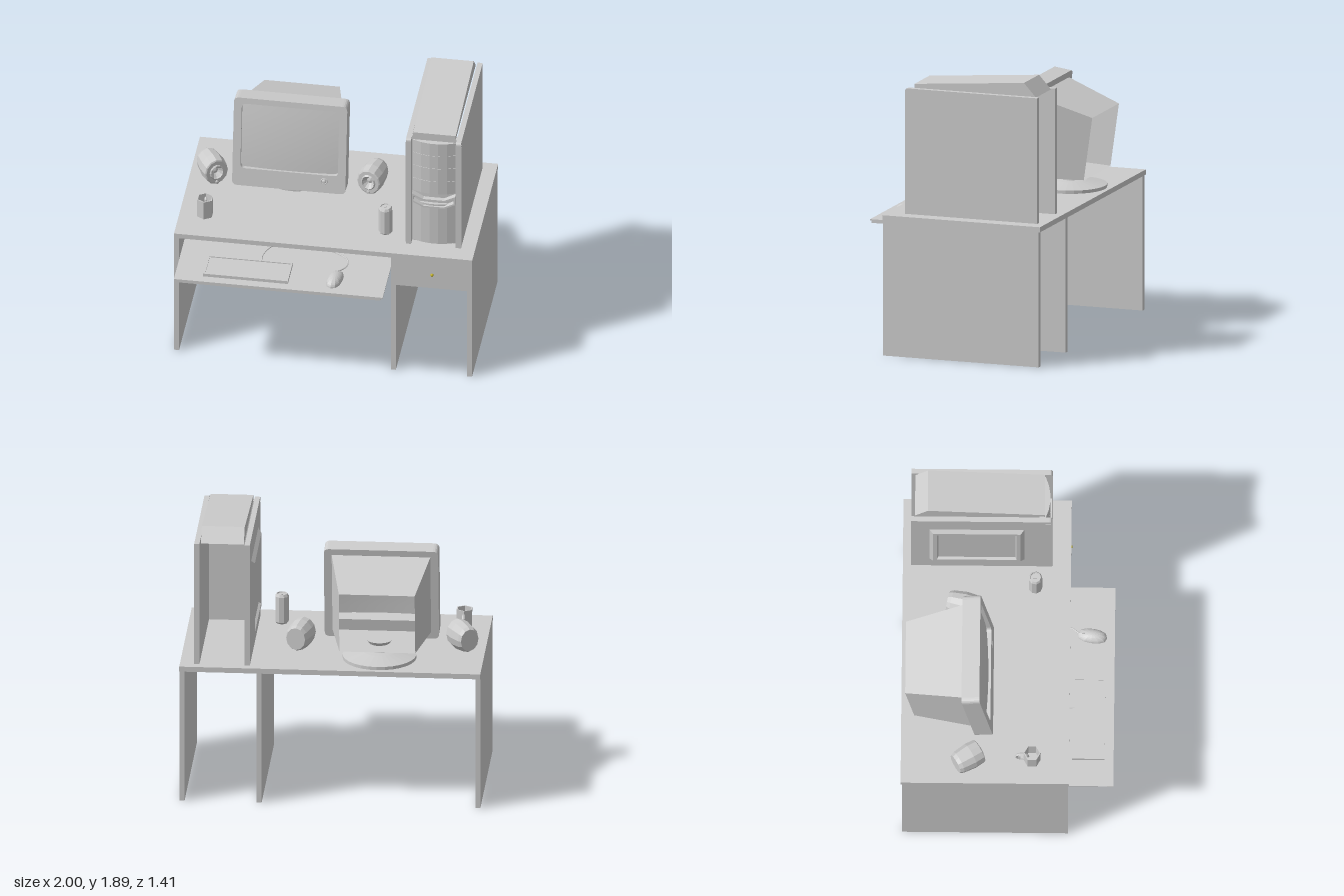
import * as THREE from 'three';

const grey = new THREE.MeshStandardMaterial({ color: 0xcccccc, side: THREE.DoubleSide });
const flat = new THREE.MeshStandardMaterial({ color: 0xcccccc, side: THREE.DoubleSide, flatShading: true });
const brass = new THREE.MeshStandardMaterial({ color: 0xc0b020 });

function add(parent, name, geometry, x = 0, y = 0, z = 0, material = flat) {
  const m = new THREE.Mesh(geometry, material);
  m.name = name;
  m.position.set(x, y, z);
  parent.add(m);
  return m;
}
function group(parent, name, x = 0, y = 0, z = 0) {
  const g = new THREE.Group();
  g.name = name;
  g.position.set(x, y, z);
  parent.add(g);
  return g;
}
// box given by its limits
function box(parent, name, x0, x1, y0, y1, z0, z1) {
  return add(parent, name, new THREE.BoxGeometry(x1 - x0, y1 - y0, z1 - z0), (x0 + x1) / 2, (y0 + y1) / 2, (z0 + z1) / 2);
}
function roundRect(x0, x1, y0, y1, r, C = THREE.Shape) {
  const s = new C();
  s.moveTo(x0 + r, y0);
  s.lineTo(x1 - r, y0); s.quadraticCurveTo(x1, y0, x1, y0 + r);
  s.lineTo(x1, y1 - r); s.quadraticCurveTo(x1, y1, x1 - r, y1);
  s.lineTo(x0 + r, y1); s.quadraticCurveTo(x0, y1, x0, y1 - r);
  s.lineTo(x0, y0 + r); s.quadraticCurveTo(x0, y0, x0 + r, y0);
  return s;
}
const poly = (pts, C = THREE.Shape) => new C(pts.map(p => new THREE.Vector2(...p)));
const extrude = (s, depth) => new THREE.ExtrudeGeometry(s, { depth, bevelEnabled: false, curveSegments: 5 });
// skin over rings of equal point count
function loft(rings, cap = false) {
  const n = rings[0].length, idx = [];
  for (let r = 0; r < rings.length - 1; r++) for (let i = 0; i < n; i++) {
    const a = r * n + i, b = r * n + (i + 1) % n;
    idx.push(a, b, b + n, a, b + n, a + n);
  }
  if (cap) for (let i = 1; i < n - 1; i++) idx.push((rings.length - 1) * n, (rings.length - 1) * n + i, (rings.length - 1) * n + i + 1);
  const g = new THREE.BufferGeometry();
  g.setAttribute('position', new THREE.Float32BufferAttribute(rings.flat(2), 3));
  g.setIndex(idx);
  g.computeVertexNormals();
  return g;
}
const tube = (pts, r) => new THREE.TubeGeometry(new THREE.CatmullRomCurve3(pts.map(p => new THREE.Vector3(...p))), 20, r, 6);

function desk(root) {
  const g = group(root, 'desk');
  box(g, 'deskTop', -1, 1, 0.915, 0.95, -0.705, 0.41);
  for (const [a, b] of [[-1, -0.967], [0.453, 0.487], [0.965, 0.998]]) box(g, 'legPanel', a, b, 0, 0.915, -0.695, 0.405);
  box(g, 'drawerFront', 0.487, 0.965, 0.69, 0.915, 0.38, 0.402);
  add(g, 'drawerKnob', new THREE.SphereGeometry(0.011, 8, 6), 0.73, 0.8, 0.408, brass);
  box(g, 'keyboardTray', -0.955, 0.445, 0.785, 0.793, -0.1, 0.705);
  box(g, 'trayUnderside', -0.94, 0.43, 0.765, 0.785, -0.1, 0.7);
}

function inputDevices(root) {
  // keyboard with a raised rim
  const k = group(root, 'keyboard');
  const rim = poly([[-0.77, -0.645], [-0.2, -0.645], [-0.2, -0.43], [-0.77, -0.43]]);
  rim.holes.push(poly([[-0.755, -0.632], [-0.755, -0.443], [-0.213, -0.443], [-0.213, -0.632]], THREE.Path));
  add(k, 'keyboardRim', extrude(rim, 0.023).rotateX(-Math.PI / 2), 0, 0.792, 0);
  box(k, 'keyArea', -0.757, -0.211, 0.792, 0.808, 0.441, 0.634);
  add(k, 'keyboardCable', tube([[-0.41, 0.812, 0.44], [-0.41, 0.818, 0.38], [-0.36, 0.828, 0.28], [-0.25, 0.829, 0.2], [-0.155, 0.83, 0.17]], 0.005));
  // mouse: squashed dome with a waist
  const dome = new THREE.SphereGeometry(1, 12, 8, 0, Math.PI * 2, 0, Math.PI / 2);
  const p = dome.attributes.position;
  for (let i = 0; i < p.count; i++) {
    const z = p.getZ(i);
    p.setXYZ(i, p.getX(i) * (0.05 + 0.012 * z * z), p.getY(i) * (0.045 + 0.008 * z), z * 0.1);
  }
  const m = group(root, 'mouse', 0.102, 0.795, 0.555);
  m.rotation.y = -0.15;
  add(m, 'mouseBody', dome);
  add(m, 'scrollWheel', new THREE.CylinderGeometry(0.008, 0.008, 0.008, 8).rotateZ(Math.PI / 2), 0, 0.03, -0.06);
  add(root, 'mouseCable', tube([[0.115, 0.81, 0.47], [0.155, 0.808, 0.41], [0.15, 0.806, 0.33], [0.06, 0.805, 0.26], [-0.02, 0.805, 0.24]], 0.005));
}

function monitor(root) {
  const base = [[0, 0], [0.245, 0], [0.245, 0.022], [0.11, 0.05], [0.07, 0.055], [0.06, 0.09], [0.085, 0.13], [0, 0.13]];
  add(root, 'monitorStand', new THREE.LatheGeometry(base.map(q => new THREE.Vector2(...q)), 28), -0.31, 0.95, -0.43);

  const g = group(root, 'monitor', -0.31, 1.027, -0.095);
  g.rotation.x = -0.139;
  const face = roundRect(-0.38, 0.38, 0, 0.654, 0.035);
  face.holes.push(roundRect(-0.327, 0.327, 0.13, 0.612, 0.03, THREE.Path));
  add(g, 'screenBezel', extrude(face, 0.12), 0, 0, -0.12);
  // gently bulging glass
  const glass = new THREE.PlaneGeometry(0.66, 0.486, 10, 8);
  const p = glass.attributes.position;
  for (let i = 0; i < p.count; i++) p.setZ(i, -0.15 * (p.getX(i) ** 2 + p.getY(i) ** 2));
  glass.computeVertexNormals();
  add(g, 'screen', glass, 0, 0.371, -0.008, grey);
  add(g, 'powerButtonRing', new THREE.TorusGeometry(0.02, 0.004, 6, 16), 0.235, 0.085, 0.001);
  add(g, 'powerButton', new THREE.SphereGeometry(0.015, 12, 6).scale(1, 1, 0.5), 0.235, 0.085, 0);
  // hollow tapered housing, open at the rear
  const ring = (w, y0, y1, z) => [[-w, y0, z], [w, y0, z], [w, y1, z], [-w, y1, z]];
  add(g, 'rearHousing', loft([ring(0.328, 0.05, 0.61, -0.118), ring(0.252, 0.1, 0.53, -0.515)]));
}

function tower(root) {
  const g = group(root, 'computerTower');
  // side walls drawn in (-z, y)
  const wall = () => {
    const s = new THREE.Shape();
    s.moveTo(-0.285, 0.95); s.lineTo(0.65, 0.95); s.lineTo(0.65, 1.8); s.lineTo(-0.265, 1.8);
    s.quadraticCurveTo(-0.285, 1.8, -0.285, 1.78);
    return s;
  };
  const left = wall();
  left.holes.push(poly([[-0.1, 1.08], [-0.1, 1.645], [0.53, 1.645], [0.53, 1.08]], THREE.Path));
  add(g, 'innerSideWall', extrude(left, 0.035).rotateY(Math.PI / 2), 0.535, 0, 0);
  add(g, 'outerSideWall', extrude(wall(), 0.035).rotateY(Math.PI / 2), 0.87, 0, 0);
  for (const x of [0.533, 0.905]) box(g, 'sideTrim', x, x + 0.002, 0.96, 1.77, 0.24, 0.278);
  // raised panel with a sunken middle
  const ring = (x, d) => [[x, 1.08 + d, -0.53 + d], [x, 1.08 + d, 0.1 - d], [x, 1.645 - d, 0.1 - d], [x, 1.645 - d, -0.53 + d]];
  add(g, 'sidePanelBulge', loft([ring(0.536, 0), ring(0.512, 0.025), ring(0.512, 0.05), ring(0.528, 0.06)], true));
  // sloping lid
  const lid = poly([[-0.235, 1.795], [0.625, 1.795], [0.54, 1.888], [-0.235, 1.825]]);
  add(g, 'slopingLid', extrude(lid, 0.285).rotateY(Math.PI / 2), 0.577, 0, 0);
  // bowed front made of stacked slabs
  box(g, 'frontBacking', 0.57, 0.87, 0.95, 1.795, 0.2, 0.235);
  const slab = (name, y0, y1, bow) => {
    const s = new THREE.Shape();
    s.moveTo(0.575, -0.22); s.lineTo(0.865, -0.22); s.lineTo(0.865, -0.24);
    s.quadraticCurveTo(0.72, -0.24 - 2 * bow, 0.575, -0.24);
    add(g, name, extrude(s, y1 - y0).rotateX(-Math.PI / 2), 0, y0, 0);
  };
  [1.67, 1.568, 1.463, 1.36].forEach((y, i) => slab('driveBay', y + 0.002, [1.77, 1.67, 1.568, 1.463][i], 0.032));
  slab('handleRecess', 1.28, 1.362, 0.01);
  slab('lowerFront', 0.96, 1.28, 0.032);
  // angled grip around the recess
  const grip = poly([[0.575, 1.36], [0.65, 1.322], [0.79, 1.322], [0.865, 1.36], [0.865, 1.295], [0.79, 1.255], [0.65, 1.255], [0.575, 1.295]]);
  grip.holes.push(poly([[0.585, 1.343], [0.652, 1.31], [0.788, 1.31], [0.855, 1.343], [0.855, 1.302], [0.788, 1.267], [0.652, 1.267], [0.585, 1.302]], THREE.Path));
  add(g, 'frontGrip', extrude(grip, 0.045), 0, 0, 0.236);
}

function speaker(root, name, x, z, yaw) {
  const g = group(root, name, x, 1.052, z);
  g.rotation.y = yaw;
  const body = [[0, -0.095], [0.075, -0.095], [0.088, -0.07], [0.1, 0.02], [0.094, 0.085], [0.085, 0.09], [0.058, 0.09], [0.05, 0.098], [0.045, 0.09], [0.022, 0.065], [0, 0.072]];
  const geo = new THREE.LatheGeometry(body.map(q => new THREE.Vector2(...q)), 12).rotateX(Math.PI / 2).scale(0.87, 1.02, 1);
  add(g, 'speakerBody', geo);
  add(g, 'volumeKnob', new THREE.CylinderGeometry(0.011, 0.011, 0.02, 8).rotateX(Math.PI / 2), 0, -0.077, 0.093);
}

function drinks(root) {
  const mug = group(root, 'mug', -0.83, 0.95, 0.165);
  const cup = [[0, 0], [0.056, 0], [0.058, 0.138], [0.05, 0.138], [0.048, 0.02], [0, 0.02]];
  add(mug, 'cup', new THREE.LatheGeometry(cup.map(q => new THREE.Vector2(...q)), 6));
  add(mug, 'mugHandle', new THREE.TorusGeometry(0.04, 0.01, 5, 10).rotateY(Math.PI / 2), 0, 0.07, -0.067);
  const can = [[0, 0], [0.036, 0], [0.046, 0.012], [0.046, 0.19], [0.037, 0.207], [0.034, 0.207], [0.032, 0.2], [0, 0.2]];
  const c = group(root, 'drinkCan', 0.383, 0.95, 0.175);
  add(c, 'canBody', new THREE.LatheGeometry(can.map(q => new THREE.Vector2(...q)), 9));
  add(c, 'pullTab', new THREE.BoxGeometry(0.012, 0.006, 0.03), 0, 0.204, -0.005);
}

export function createModel() {
  const root = new THREE.Group();
  root.name = 'computerDesk';
  desk(root);
  inputDevices(root);
  monitor(root);
  tower(root);
  speaker(root, 'rightSpeaker', -0.853, -0.26, 0.55);
  speaker(root, 'leftSpeaker', 0.226, -0.31, -0.24);
  drinks(root);
  return root;
}
